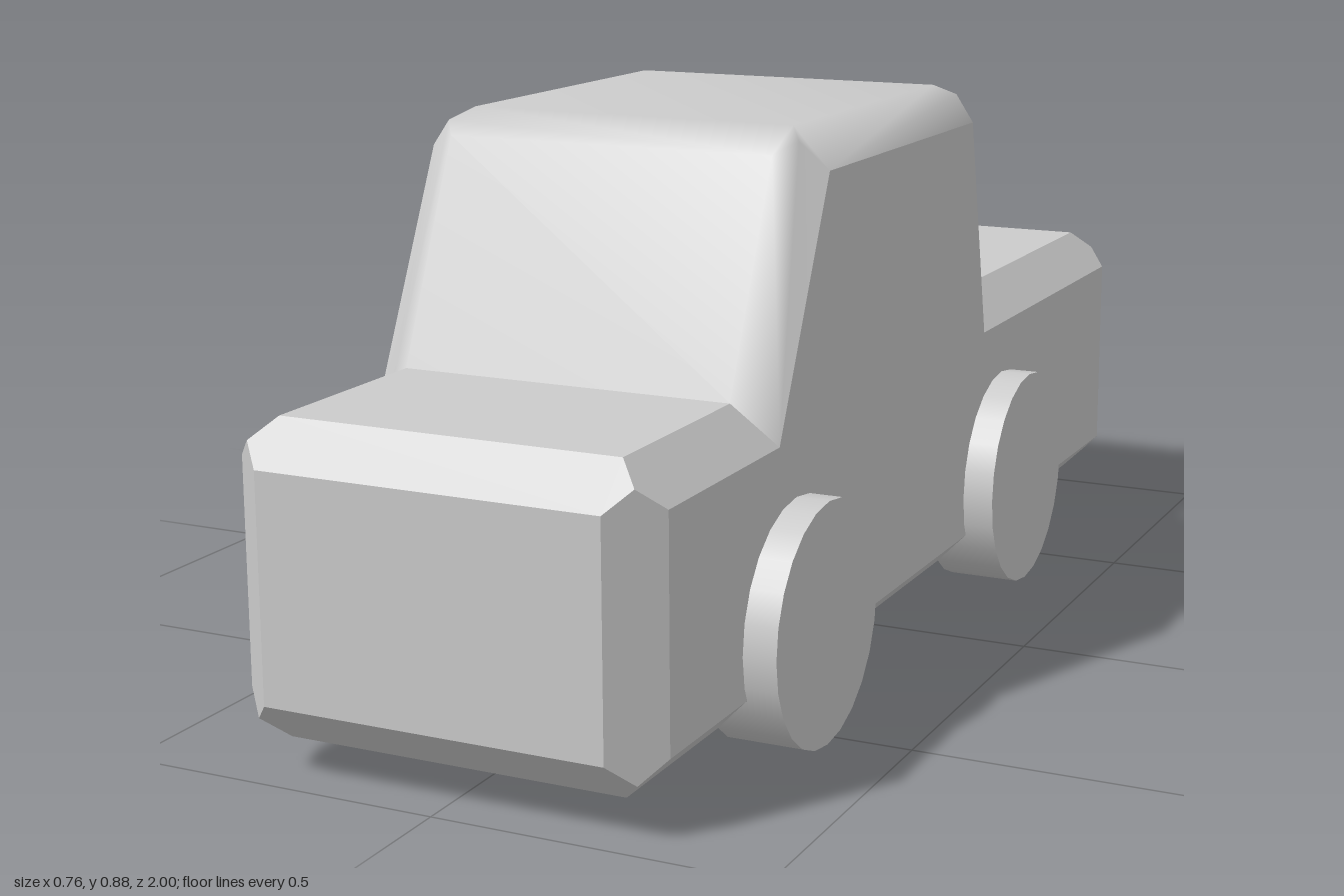
import * as THREE from 'three';
import { mergeVertices } from 'three/addons/utils/BufferGeometryUtils.js';

const OUT = 0.33; // half width at the flat sides
const IN = 0.265; // half width where the side chamfer ends

// Side profile corners as [z, y]: a/b = chamfer ends on the previous/next edge,
// s = matching corner of the flat side, m = half width where the chamfers meet
const CORNERS = [
  { a: [0.937, 0.05], b: [0.937, 0.05], s: [0.937, 0.115], m: 0.2975 }, // front bottom
  { a: [-0.937, 0.05], b: [-1, 0.115], s: [-0.937, 0.115], m: 0.2975 }, // back bottom
  { a: [-1, 0.453], b: [-0.937, 0.515], s: [-0.937, 0.453], m: 0.2975 }, // back top
  { a: [-0.284, 0.515], b: [-0.284, 0.515], s: [-0.26, 0.453], m: 0.2975 }, // behind the cab
  { a: [-0.237, 0.845], b: [-0.168, 0.88], s: [-0.182, 0.82], m: 0.293 }, // roof rear
  { a: [0.4, 0.88], b: [0.473, 0.845], s: [0.417, 0.82], m: 0.29 }, // roof front
  { a: [0.615, 0.515], b: [0.615, 0.515], s: [0.59, 0.453], m: 0.2975 }, // windscreen foot
  { a: [0.937, 0.515], b: [1, 0.453], s: [0.937, 0.453], m: 0.2975 }, // front top
];
CORNERS[0].a = [1, 0.115];

// Turns polygons into a geometry, leaving out zero-area triangles
function fromPolygons(polygons, smooth) {
  const pos = [];
  for (const p of polygons) {
    for (let i = 1; i < p.length - 1; i++) {
      const tri = new THREE.Triangle(p[0], p[i], p[i + 1]);
      if (tri.getArea() < 1e-7) continue;
      for (const v of [tri.a, tri.b, tri.c]) pos.push(v.x, v.y, v.z);
    }
  }
  let geo = new THREE.BufferGeometry();
  geo.setAttribute('position', new THREE.Float32BufferAttribute(pos, 3));
  if (smooth) geo = mergeVertices(geo, 1e-4);
  geo.computeVertexNormals();
  return geo;
}

export function createModel() {
  const group = new THREE.Group();
  const material = new THREE.MeshStandardMaterial({ color: 0xcccccc });
  const add = (name, geo) => {
    const mesh = new THREE.Mesh(geo, material);
    mesh.name = name;
    group.add(mesh);
    return mesh;
  };

  const at = (x, [z, y]) => new THREE.Vector3(x, y, z);
  const flip = (v) => new THREE.Vector3(-v.x, v.y, v.z);
  const pts = CORNERS.map(({ a, b, s, m }) => ({
    A: at(IN, a),
    B: at(IN, b),
    S: at(OUT, s),
    // corners without a cross chamfer meet halfway along the mitre
    M: a === b || (a[0] === b[0] && a[1] === b[1])
      ? at(IN, a).lerp(at(OUT, s), 0.5)
      : at(m, [(a[0] + b[0]) / 2, (a[1] + b[1]) / 2]),
  }));

  const body = [], cab = [];
  const addPair = (list, poly) => list.push(poly, poly.map(flip).reverse());

  pts.forEach((p, i) => {
    const q = pts[(i + 1) % pts.length];
    const edges = i >= 3 && i <= 5 ? cab : body;
    const corners = i === 4 || i === 5 ? cab : body;
    // panel across the width, side chamfers, chamfer across the corner
    edges.push([q.A, p.B, flip(p.B), flip(q.A)]);
    addPair(edges, [q.S, p.S, p.M, p.B, q.A, q.M]);
    corners.push([p.B, p.M, p.A, flip(p.A), flip(p.M), flip(p.B)]);
  });

  // Flat sides: long lower body and cab
  addPair(body, [0, 1, 2, 3, 6, 7].map((i) => pts[i].S));
  addPair(body, [3, 4, 5, 6].map((i) => pts[i].S));

  add('body', fromPolygons(body, false));
  add('cab', fromPolygons(cab, true));

  // Wheels
  const wheel = new THREE.CylinderGeometry(0.183, 0.183, 0.117, 24).rotateZ(Math.PI / 2);
  for (const [end, z] of [['front', 0.53], ['rear', -0.355]]) {
    for (const [side, sx] of [['Left', 1], ['Right', -1]]) {
      add(`${end}${side}Wheel`, wheel).position.set(sx * 0.3225, 0.183, z);
    }
  }
  return group;
}
